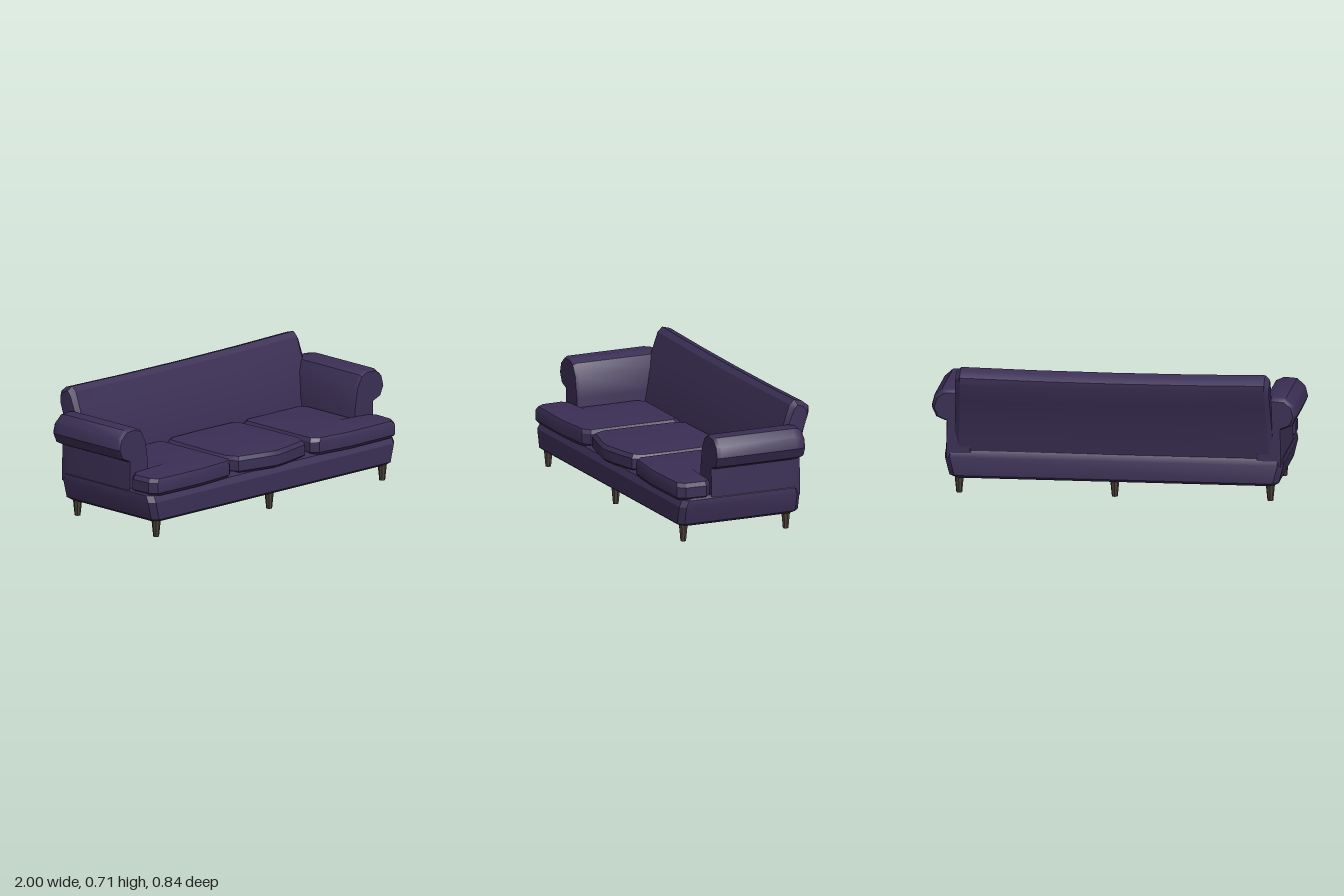
import * as THREE from 'three';
import { toCreasedNormals } from 'three/addons/utils/BufferGeometryUtils.js';

const fabric = new THREE.MeshStandardMaterial({ color: 0x3b2f55 });
const wood = new THREE.MeshStandardMaterial({ color: 0x4a4038 });

// Closed skin through equal-length rings of [x, y, z] points, with fan caps at both ends.
function loft(rings, crease = 0.45) {
  const n = rings[0].length;
  const pos = rings.flat(2);
  const index = [];
  for (let r = 0; r < rings.length - 1; r++) {
    for (let i = 0; i < n; i++) {
      const j = (i + 1) % n, a = r * n, b = a + n;
      index.push(a + i, a + j, b + j, a + i, b + j, b + i);
    }
  }
  for (const end of [0, rings.length - 1]) {
    const centre = pos.length / 3;
    for (let k = 0; k < 3; k++) pos.push(rings[end].reduce((s, p) => s + p[k], 0) / n);
    for (let i = 0; i < n; i++) {
      const a = end * n + i, b = end * n + (i + 1) % n;
      if (end) index.push(a, b, centre); else index.push(b, a, centre);
    }
  }
  // Turn the skin outward when its enclosed volume is negative
  const v = (i) => new THREE.Vector3().fromArray(pos, i * 3);
  let volume = 0;
  for (let t = 0; t < index.length; t += 3) {
    volume += v(index[t]).dot(v(index[t + 1]).cross(v(index[t + 2])));
  }
  if (volume < 0) index.reverse();
  const geo = new THREE.BufferGeometry();
  geo.setAttribute('position', new THREE.Float32BufferAttribute(pos, 3));
  geo.setIndex(index);
  return toCreasedNormals(geo, crease);
}

function add(parent, name, geo, material = fabric) {
  const mesh = new THREE.Mesh(geo, material);
  mesh.name = name;
  parent.add(mesh);
  return mesh;
}

// Upholstered base: rectangles with cut corners stacked in y
function baseGeometry() {
  const c = 0.03;
  const rows = [ // y, half width, back z, front z
    [0.088, 0.875, -0.31, 0.365],
    [0.105, 0.9, -0.335, 0.388],
    [0.205, 0.925, -0.335, 0.388],
    [0.24, 0.922, -0.325, 0.37],
    [0.256, 0.905, -0.315, 0.33],
  ];
  return loft(rows.map(([y, w, b, f]) => [
    [-w + c, y, b], [w - c, y, b], [w, y, b + c], [w, y, f - c],
    [w - c, y, f], [-w + c, y, f], [-w, y, f - c], [-w, y, b + c],
  ]));
}

// Rolled arm: one profile swept front to back, drawn in at the ends
function armGeometry(side) {
  const profile = [
    [0.92, 0.2], [0.915, 0.4], [0.975, 0.425], [1, 0.48], [0.985, 0.54], [0.94, 0.58],
    [0.87, 0.585], [0.825, 0.565], [0.79, 0.5], [0.77, 0.38], [0.76, 0.2],
  ];
  const ends = [[0.205, 0.92], [0.185, 1], [-0.27, 1], [-0.31, 0.95], [-0.328, 0.82]];
  return loft(ends.map(([z, s]) => profile.map(([x, y]) => [
    side * (0.885 + (x - 0.885) * s), y < 0.3 ? y : 0.46 + (y - 0.46) * s, z,
  ])), 0.6);
}

// Raked back: side profile swept across the width, top edge dipping in the middle
function backGeometry() {
  const profile = [ // z, y
    [-0.19, 0.2], [-0.2, 0.33], [-0.235, 0.48], [-0.27, 0.585], [-0.305, 0.685], [-0.333, 0.71],
    [-0.38, 0.697], [-0.418, 0.667], [-0.418, 0.63], [-0.385, 0.53], [-0.35, 0.39],
    [-0.325, 0.25], [-0.315, 0.2],
  ];
  const stations = [-1, -0.97, -0.5, 0, 0.5, 0.97, 1];
  return loft(stations.map((t) => profile.map(([z, y]) => {
    const end = Math.abs(t) === 1;
    const mid = -0.26 - 0.2 * (y - 0.2);
    const width = 0.857 + 0.05 * Math.max(0, 0.58 - y);
    const dip = y > 0.6 ? 0.01 * (1 - t * t) : 0;
    return [t * width, y - dip - (end && y > 0.6 ? 0.025 : 0), end ? mid + (z - mid) * 0.7 : z];
  })));
}

// Seat cushion: plan outline stacked with rounded edges and a soft crown
function cushionGeometry(outline, cx, cz, side = 1) {
  const rows = [[0.24, 0.93], [0.258, 1], [0.315, 1], [0.336, 0.95], [0.347, 0.55], [0.35, 0.2]];
  return loft(rows.map(([y, s]) => outline.map(([x, z]) => [
    side * (cx + (x - cx) * s), y, cz + (z - cz) * s,
  ])));
}

export function createModel() {
  const sofa = new THREE.Group();
  sofa.name = 'sofa';

  add(sofa, 'base', baseGeometry());
  add(sofa, 'backrest', backGeometry());

  // Outer cushions wrap in front of the arms
  const outer = [
    [0.3, -0.17], [0.33, -0.2], [0.73, -0.2], [0.765, -0.16], [0.765, 0.2], [0.895, 0.207],
    [0.927, 0.24], [0.922, 0.36], [0.89, 0.4], [0.57, 0.407], [0.34, 0.385], [0.3, 0.35],
  ];
  for (const [label, side] of [['left', 1], ['right', -1]]) {
    add(sofa, label + 'Arm', armGeometry(side));
    add(sofa, label + 'Cushion', cushionGeometry(outer, 0.55, 0.22, side));
  }

  // Middle cushion with a bowed front
  const half = [[0, -0.207], [0.24, -0.2], [0.275, -0.16], [0.285, 0.1], [0.285, 0.3], [0.25, 0.365], [0.1, 0.4], [0, 0.418]];
  const mirrored = half.slice(1, -1).reverse().map(([x, z]) => [-x, z]);
  add(sofa, 'middleCushion', cushionGeometry([...half, ...mirrored], 0, 0.1));

  // Tapered legs
  const legGeo = new THREE.CylinderGeometry(0.026, 0.016, 0.1, 8);
  for (const [row, z] of [['front', 0.343], ['back', -0.272]]) {
    for (const x of [-0.85, 0, 0.85]) {
      add(sofa, row + 'Leg', toCreasedNormals(legGeo, 0.5), wood).position.set(x, 0.05, z);
    }
  }
  return sofa;
}
